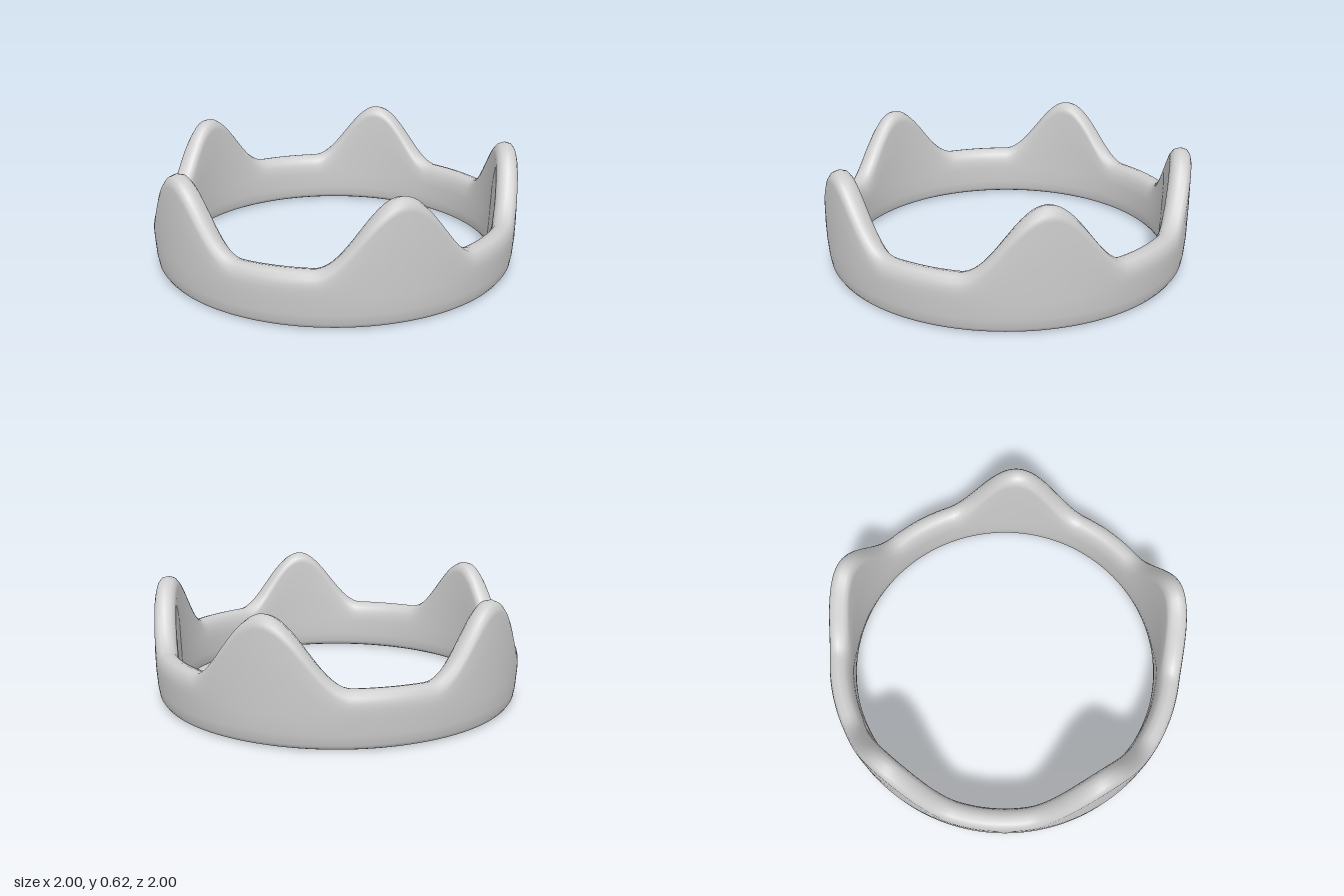
import * as THREE from 'three';

const PEAKS = 5, STEPS = 240;

// Height of the rim at an angle (0 = front): smooth peaks with flat valleys between
function rimHeight(angle) {
  const pitch = (Math.PI * 2) / PEAKS;
  const d = Math.abs(angle - Math.round(angle / pitch) * pitch);
  const t = Math.min(d / THREE.MathUtils.degToRad(25), 1);
  return 0.29 + 0.335 * 0.5 * (1 + Math.cos(Math.PI * t));
}

// Wall cross-section, outside upwards then inside down: [radius, share of rim height, offset]
const section = [
  [0.95, 0, 0], [0.972, 0, 0.01], [0.985, 0, 0.03], [0.993, 0, 0.08], [0.999, 0, 0.17],
  [1, 0.5, 0.06], [0.998, 1, -0.06], [0.991, 1, -0.032], [0.974, 1, -0.009], [0.942, 1, 0],
  [0.91, 1, -0.009], [0.892, 1, -0.032], [0.883, 1, -0.06], [0.878, 0.5, 0.06], [0.874, 0, 0.17],
  [0.874, 0, 0.08], [0.879, 0, 0.03], [0.89, 0, 0.01], [0.912, 0, 0],
];

function crownGeometry() {
  const pos = [], idx = [], n = section.length;
  for (let i = 0; i < STEPS; i++) {
    const a = (i / STEPS) * Math.PI * 2, h = rimHeight(a);
    for (const [r, k, dy] of section) pos.push(r * Math.sin(a), k * h + dy, r * Math.cos(a));
    for (let j = 0; j < n; j++) {
      const i2 = (i + 1) % STEPS, j2 = (j + 1) % n;
      const p = i * n + j, q = i2 * n + j, s = i2 * n + j2, t = i * n + j2;
      idx.push(p, q, s, p, s, t);
    }
  }
  const g = new THREE.BufferGeometry();
  g.setAttribute('position', new THREE.Float32BufferAttribute(pos, 3));
  g.setIndex(idx);
  g.computeVertexNormals();
  return g;
}

export function createModel() {
  const group = new THREE.Group();
  group.name = 'crownRing';
  const silver = new THREE.MeshStandardMaterial({ color: 0xcccccc });
  silver.name = 'silver';
  const band = new THREE.Mesh(crownGeometry(), silver);
  band.name = 'peakedBand';
  group.add(band);
  return group;
}
